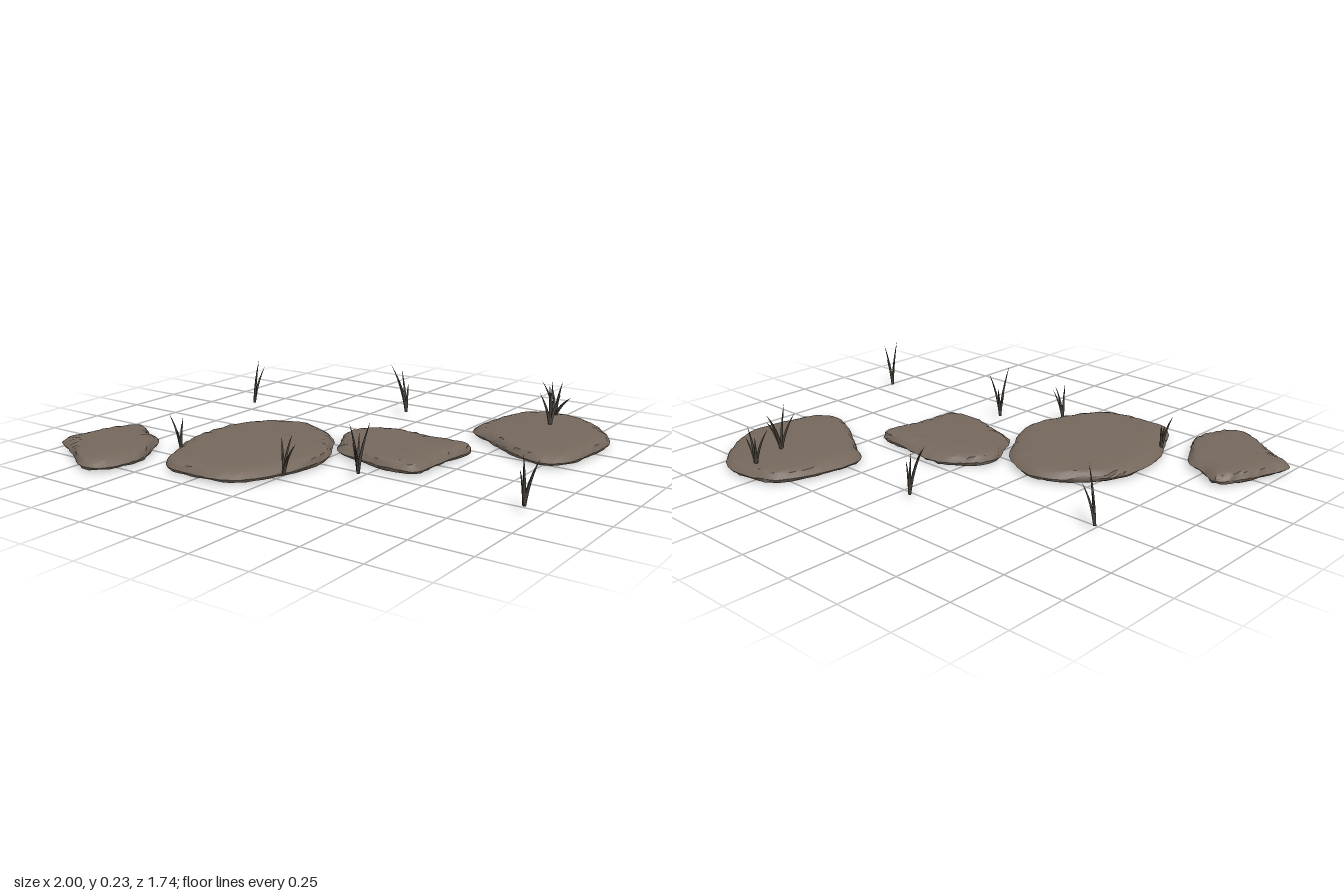
import * as THREE from 'three';
import { toCreasedNormals } from 'three/addons/utils/BufferGeometryUtils.js';

const stoneMat = new THREE.MeshStandardMaterial({ color: 0x75685d });
const grassMat = new THREE.MeshStandardMaterial({ color: 0x48413a, side: THREE.DoubleSide });
stoneMat.name = 'weathered stone';
grassMat.name = 'dry grass';

// Stone outlines as [x, z], clockwise seen from above
const STONES = {
  frontLeftStone: [[-.86, .34], [-.77, .39], [-.68, .43], [-.61, .54], [-.55, .67], [-.572, .8], [-.61, .85],
    [-.665, .865], [-.83, .77], [-.92, .72], [-1, .67], [-.97, .54], [-.92, .42]],
  largeStone: [[-.29, -.1], [-.195, -.07], [-.09, 0], [-.025, .1], [.035, .2], [.05, .35], [.02, .5], [-.035, .62],
    [-.115, .68], [-.275, .69], [-.415, .665], [-.475, .565], [-.56, .4], [-.58, .27], [-.56, .125], [-.48, .015], [-.39, -.065]],
  middleStone: [[.055, -.24], [.135, -.255], [.3, -.23], [.44, -.21], [.458, -.19], [.445, 0], [.432, .165], [.415, .185],
    [.3, .195], [.16, .17], [.015, .125], [-.04, .03], [-.08, -.05], [-.065, -.13], [-.01, -.195]],
  backRightStone: [[.595, -.87], [.67, -.85], [.785, -.755], [.875, -.61], [.88, -.53], [.855, -.29], [.82, -.23], [.75, -.2],
    [.63, -.245], [.43, -.37], [.315, -.45], [.33, -.665], [.39, -.8], [.47, -.85]],
};

// Rings from the underside to the top: [height, inset, share of the remaining radius, roughness]
const RINGS = [[0.003, 0, 0, 0], [0.001, .05, .6, 0], [0.002, .035, 1, .3], [.01, .01, 1, 1], [.022, 0, 1, .6],
  [.033, .008, 1, 1], [.044, .02, 1, 1], [.051, .04, 1, .8], [.053, .07, 1, .25], [.054, .08, .6, .15], [.054, 0, 0, 0]];

function seeded(seed) {
  return () => {
    seed = (seed * 16807) % 2147483647;
    return seed / 2147483647;
  };
}

function stoneGeometry(outline, seed) {
  const rand = seeded(seed), n = 72;
  const curve = new THREE.CatmullRomCurve3(outline.map(([x, z]) => new THREE.Vector3(x, 0, z)), true, 'centripetal');
  const edge = curve.getSpacedPoints(n).slice(0, n);
  const centre = edge.reduce((c, p) => c.add(p), new THREE.Vector3()).divideScalar(n);
  const wave = rand() * 6;
  const rings = RINGS.map(([y, inset, share, rough]) => edge.map((p, j) => {
    const d = p.clone().sub(centre), r = d.length(), a = j / n * Math.PI * 2;
    // the bevel swells and narrows around the rim
    const bevel = inset * (1 + .45 * Math.sin(3 * a + wave)) + (rand() - .3) * .008 * rough;
    d.multiplyScalar((r - bevel) * share / r).add(centre);
    d.y = Math.max(0, y + (rand() - .5) * .005 * rough);
    return d;
  }));
  const pos = [], add = (...pts) => pts.forEach((p) => pos.push(p.x, p.y, p.z));
  for (let i = 0; i < rings.length - 1; i++) {
    for (let j = 0; j < n; j++) {
      const k = (j + 1) % n, a = rings[i][j], b = rings[i][k], c = rings[i + 1][j], d = rings[i + 1][k];
      if (i > 0) add(b, a, c);
      if (i < rings.length - 2) add(b, c, d);
    }
  }
  const geo = new THREE.BufferGeometry();
  geo.setAttribute('position', new THREE.Float32BufferAttribute(pos, 3));
  return toCreasedNormals(geo, .6);
}

// Tufts: root [x, y, z], then the blade tips
const TUFTS = [
  [[-.765, .025, -.29], [-.705, .235, -.255], [-.73, .19, -.325], [-.75, .15, -.29]],
  [[-.085, .025, -.55], [-.16, .235, -.54], [-.13, .21, -.58], [-.115, .2, -.515], [-.08, .16, -.56]],
  [[.535, .045, -.8], [.48, .2, -.775], [.56, .2, -.81], [.61, .14, -.79], [.51, .17, -.815]],
  [[.59, .045, -.635], [.555, .225, -.72], [.61, .175, -.685], [.565, .2, -.575], [.595, .235, -.605]],
  [[.258, .025, .325], [.26, .235, .385], [.285, .22, .285], [.22, .135, .31], [.29, .145, .39], [.235, .17, .285]],
  [[.94, .025, .295], [.995, .205, .3], [.955, .225, .345], [.915, .15, .288], [.965, .15, .285]],
  [[.03, .025, .49], [.03, .175, .5], [.05, .175, .46], [.08, .145, .48], [.07, .11, .505]],
  [[-.508, .025, .48], [-.545, .17, .5], [-.53, .145, .44], [-.5, .12, .51], [-.515, .13, .465]],
];

// One tapering blade that rises steeply, then arcs outward to its tip
function bladeGeometry(root, tip) {
  const mid = root.clone().lerp(tip, .25).setY(root.y + (tip.y - root.y) * .55);
  const curve = new THREE.QuadraticBezierCurve3(root, mid, tip);
  const segments = 6, sides = 4;
  const geo = new THREE.TubeGeometry(curve, segments, .0075, sides);
  const pos = geo.attributes.position, v = new THREE.Vector3();
  for (let i = 0; i < pos.count; i++) {
    const t = Math.floor(i / (sides + 1)) / segments, c = curve.getPointAt(t);
    v.fromBufferAttribute(pos, i).sub(c).multiplyScalar(1 - .95 * t * t).add(c);
    pos.setXYZ(i, v.x, v.y, v.z);
  }
  geo.computeVertexNormals();
  return geo;
}

export function createModel() {
  const model = new THREE.Group();
  model.name = 'steppingStonePath';

  // flat stones
  Object.entries(STONES).forEach(([name, outline], i) => {
    const stone = new THREE.Mesh(stoneGeometry(outline, 1237 + i * 911), stoneMat);
    stone.name = name;
    model.add(stone);
  });

  // grass tufts
  TUFTS.forEach(([root, ...tips], i) => {
    const tuft = new THREE.Group();
    tuft.name = `grassTuft${i + 1}`;
    tips.forEach((tip) => {
      const blade = new THREE.Mesh(bladeGeometry(new THREE.Vector3(...root), new THREE.Vector3(...tip)), grassMat);
      blade.name = 'grassBlade';
      tuft.add(blade);
    });
    model.add(tuft);
  });
  return model;
}
